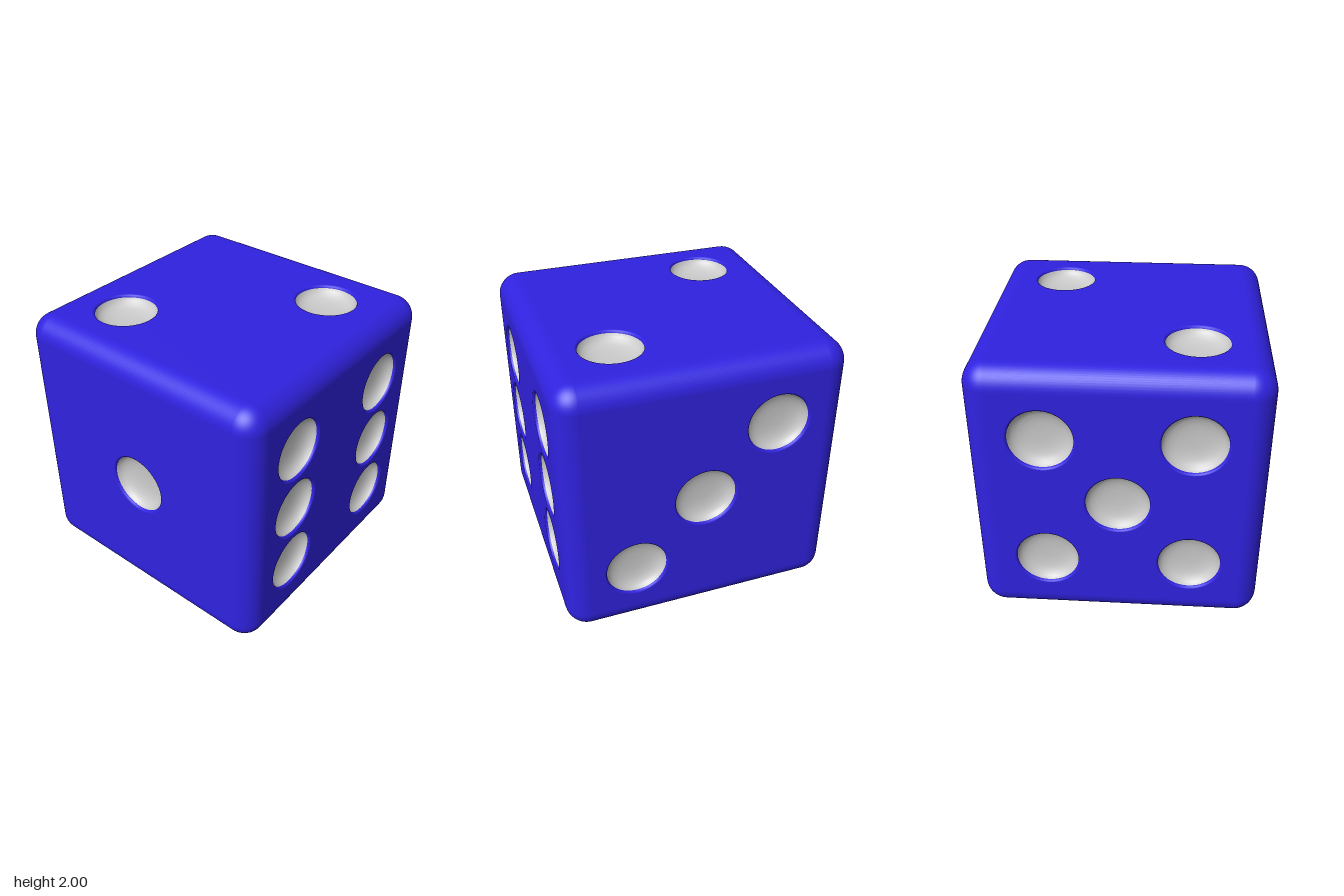
import * as THREE from 'three';
import { RoundedBoxGeometry } from 'three/addons/geometries/RoundedBoxGeometry.js';

const RADIUS = 0.16;      // rounding of the cube edges
const FLAT = 1 - RADIUS;  // half size of the flat part of a face
const LIP = 0.232;        // outer radius of the softened hole rim
const PIP = 0.218;        // radius of the grey bowl
const SIDES = 48;

const blue = new THREE.MeshStandardMaterial({ color: 0x3022e0 });
const grey = new THREE.MeshStandardMaterial({ color: 0xcccccc });

// Rounded edges and corners only: the flat middles are dropped
function roundedFrame() {
  const box = new RoundedBoxGeometry(2, 2, 2, 7, RADIUS);
  const src = box.index ? box.toNonIndexed() : box;
  const p = src.attributes.position, n = src.attributes.normal;
  const pos = [], nor = [];
  for (let i = 0; i < p.count; i += 3) {
    const flat = [0, 1, 2].some(axis => [1, -1].some(side =>
      [0, 1, 2].every(k => Math.abs(p.getComponent(i + k, axis) - side) < 1e-4)));
    if (flat) continue;
    for (let k = i; k < i + 3; k++) {
      pos.push(p.getX(k), p.getY(k), p.getZ(k));
      nor.push(n.getX(k), n.getY(k), n.getZ(k));
    }
  }
  const g = new THREE.BufferGeometry();
  g.setAttribute('position', new THREE.Float32BufferAttribute(pos, 3));
  g.setAttribute('normal', new THREE.Float32BufferAttribute(nor, 3));
  return g;
}

// Turned profile opening towards +z
function turned(points) {
  const g = new THREE.LatheGeometry(points.map(([r, y]) => new THREE.Vector2(r, y)), SIDES);
  return g.rotateX(Math.PI / 2);
}

const lipGeometry = turned([[LIP, 0], [0.225, -0.003], [0.22, -0.009], [PIP, -0.018]]);
const bowlGeometry = turned([[PIP, -0.018], [0.208, -0.04], [0.188, -0.06],
  [0.155, -0.076], [0.11, -0.086], [0.06, -0.09], [0, -0.091]]);

// One face: flat plate with round holes, each filled by a lip and a bowl
function makeFace(name, pips) {
  const face = new THREE.Group();
  face.name = name;
  const shape = new THREE.Shape([[-1, -1], [1, -1], [1, 1], [-1, 1]]
    .map(([x, y]) => new THREE.Vector2(x * FLAT, y * FLAT)));
  for (const [x, y] of pips) {
    const ring = [];
    for (let i = 0; i < SIDES; i++) {
      const a = -i / SIDES * Math.PI * 2;
      ring.push(new THREE.Vector2(x + LIP * Math.cos(a), y + LIP * Math.sin(a)));
    }
    shape.holes.push(new THREE.Path(ring));
    for (const [part, geometry, material] of [['pipRim', lipGeometry, blue], ['pip', bowlGeometry, grey]]) {
      const mesh = new THREE.Mesh(geometry, material);
      mesh.name = part;
      mesh.position.set(x, y, 1);
      face.add(mesh);
    }
  }
  const plate = new THREE.Mesh(new THREE.ShapeGeometry(shape), blue);
  plate.name = 'facePlate';
  plate.position.z = 1;
  face.add(plate);
  return face;
}

export function createModel() {
  const die = new THREE.Group();
  die.name = 'die';

  const frame = new THREE.Mesh(roundedFrame(), blue);
  frame.name = 'roundedEdges';
  frame.position.y = 1;
  die.add(frame);

  // Pip layouts in face coordinates
  const d = 0.5, q = Math.PI / 2;
  const two = [[d, d], [-d, -d]];
  const four = [...two, [-d, d], [d, -d]];
  const faces = [
    ['frontFaceOne', [[0, 0]], 0, 0],
    ['rightFaceSix', [...four, [-d, 0], [d, 0]], 0, q],
    ['backFaceThree', [...two, [0, 0]], 0, 2 * q],
    ['leftFaceFive', [...four, [0, 0]], 0, -q],
    ['topFaceTwo', two, -q, 0],
    ['bottomFaceFour', four, q, 0],
  ];
  for (const [name, pips, rx, ry] of faces) {
    const face = makeFace(name.replace('rightFace', 'sideFace').replace('leftFace', 'oppositeSideFace'), pips);
    face.rotation.set(rx, ry, 0);
    face.position.y = 1;
    die.add(face);
  }
  return die;
}
